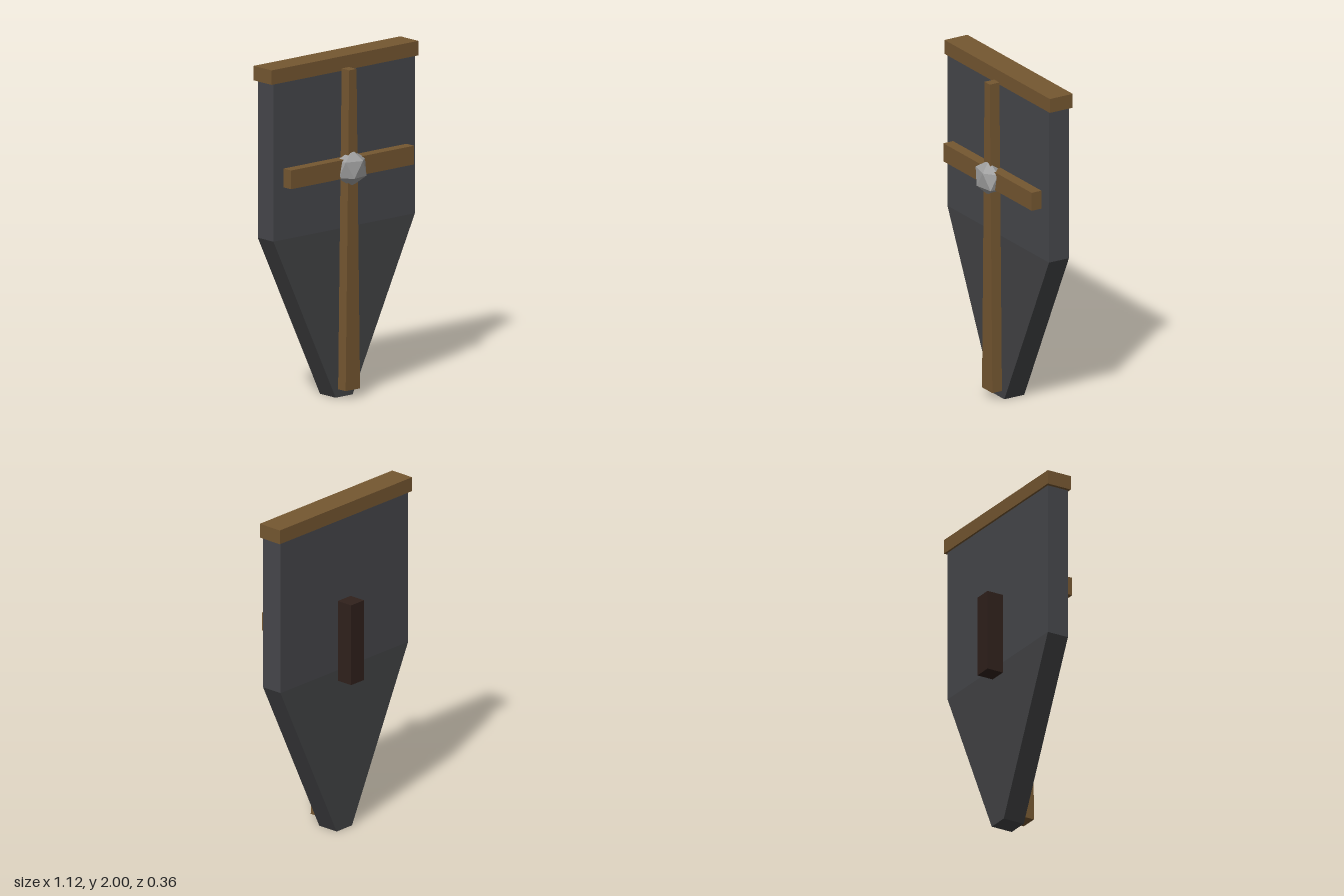
import * as THREE from 'three';

const material = (color) => new THREE.MeshStandardMaterial({ color, flatShading: true });

export function createModel() {
  const model = new THREE.Group();
  const wood = material(0x755731);
  const upperMetal = material(0x46474b);
  const lowerMetal = material(0x424345);
  const darkWood = material(0x30211c);
  const steel = material(0xa0a0a0);

  function add(name, geometry, mat, x, y, z) {
    const mesh = new THREE.Mesh(geometry, mat);
    mesh.name = name;
    mesh.position.set(x, y, z);
    model.add(mesh);
    return mesh;
  }

  // Box given by its width and its y and z ranges, centred on x = 0
  function slab(name, mat, width, y0, y1, z0, z1) {
    const geometry = new THREE.BoxGeometry(width, y1 - y0, z1 - z0);
    return add(name, geometry, mat, 0, (y0 + y1) / 2, (z0 + z1) / 2);
  }

  // Symmetric trapezoid of given half widths, extruded from z0 to z1
  function taper(name, mat, bottom, top, y0, y1, z0, z1) {
    const shape = new THREE.Shape([
      new THREE.Vector2(-bottom, y0), new THREE.Vector2(bottom, y0),
      new THREE.Vector2(top, y1), new THREE.Vector2(-top, y1),
    ]);
    const geometry = new THREE.ExtrudeGeometry(shape, { depth: z1 - z0, bevelEnabled: false });
    return add(name, geometry, mat, 0, 0, z0);
  }

  // Shield plate: straight upper half, tapering lower half
  slab('upperPlate', upperMetal, 1.08, 0.99, 1.92, -0.08, 0.055);
  taper('lowerPlate', lowerMetal, 0.065, 0.54, 0, 0.99, -0.08, 0.055);

  // Wooden top rail and cross on the front
  slab('topRail', wood, 1.12, 1.915, 2, -0.093, 0.062);
  taper('verticalBar', wood, 0.055, 0.028, 0.05, 1.93, 0.065, 0.13);
  slab('crossBar', wood, 0.94, 1.3, 1.41, 0.062, 0.128);

  // Faceted boss, flattened front to back
  const bossGeometry = new THREE.IcosahedronGeometry(1, 0);
  bossGeometry.rotateZ(-0.58);
  bossGeometry.scale(0.112, 0.108, 0.072);
  add('boss', bossGeometry, steel, 0, 1.35, 0.12);

  // Grip on the back
  slab('handle', darkWood, 0.11, 0.925, 1.415, -0.183, -0.08);

  return model;
}
